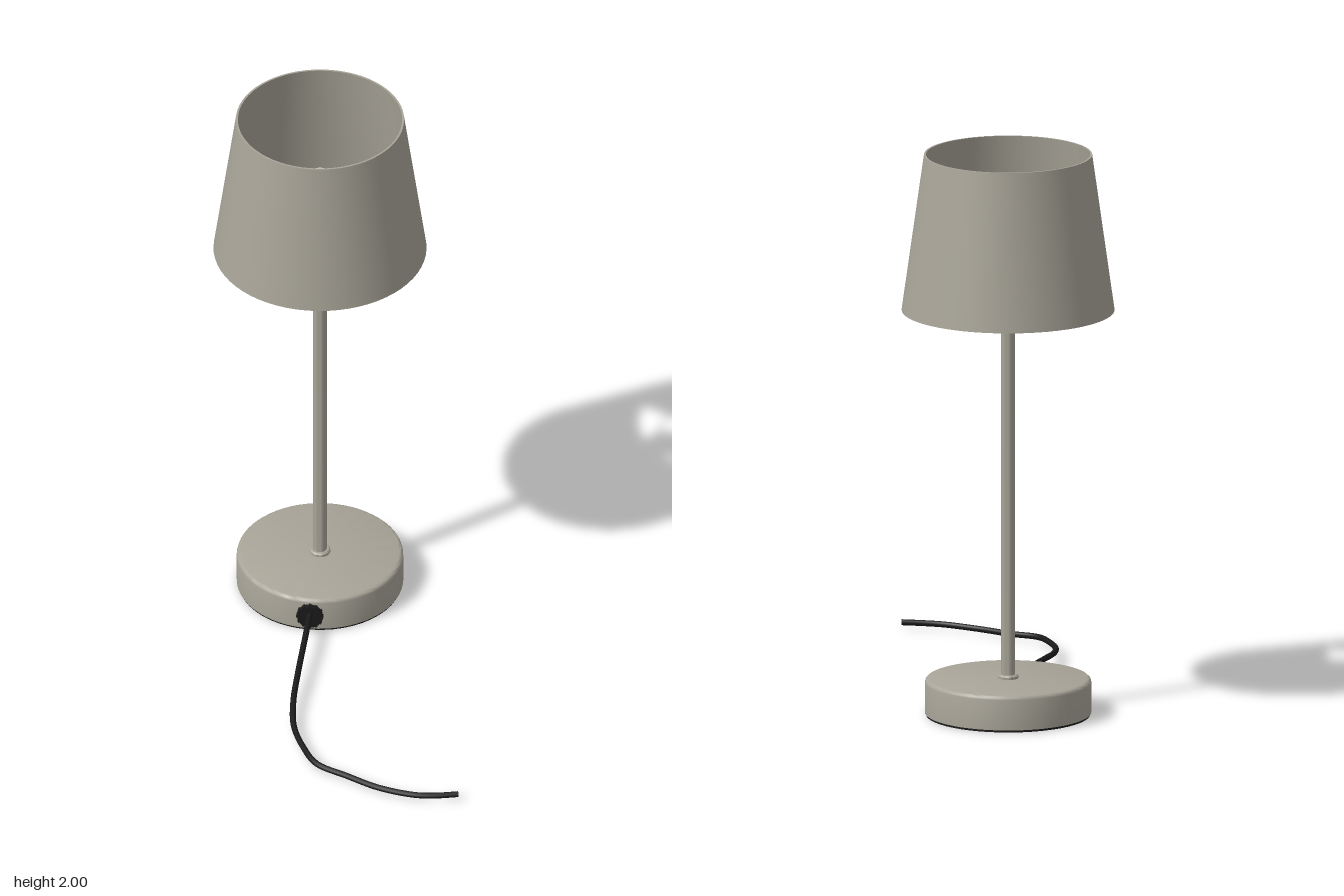
import * as THREE from 'three';
import { toCreasedNormals } from 'three/addons/utils/BufferGeometryUtils.js';

const AXIS_X = -0.13, AXIS_Z = -0.435;

function material(name, color) {
  const m = new THREE.MeshStandardMaterial({ color });
  m.name = name;
  return m;
}

export function createModel() {
  const metal = material('warm grey', 0xa8a498);
  const black = material('black', 0x1a1a1a);
  const white = material('bulb white', 0xf2f2f2);

  const model = new THREE.Group();
  model.name = 'tableLamp';
  const lamp = new THREE.Group();
  lamp.name = 'lamp';
  lamp.position.set(AXIS_X, 0, AXIS_Z);
  model.add(lamp);

  const add = (parent, name, geometry, mat) => {
    const mesh = new THREE.Mesh(geometry, mat);
    mesh.name = name;
    parent.add(mesh);
    return mesh;
  };
  // Turned part from [radius, height] points, listed upward along the outside
  const turned = (points, segments = 48) => toCreasedNormals(
    new THREE.LatheGeometry(points.map(([r, y]) => new THREE.Vector2(r, y)), segments), 0.6);

  // Base with softened rim, dark pad underneath
  add(lamp, 'basePad', turned([[0, 0], [0.286, 0], [0.286, 0.012], [0, 0.012]]), black);
  add(lamp, 'base', turned([[0, 0.008], [0.29, 0.008], [0.29, 0.116], [0.288, 0.123],
    [0.283, 0.128], [0.276, 0.13], [0, 0.13]], 64), metal);

  // Pole and its collar
  add(lamp, 'poleCollar', turned([[0.036, 0.128], [0.036, 0.138], [0.031, 0.143], [0, 0.143]], 32), metal);
  add(lamp, 'pole', turned([[0.024, 0.13], [0.024, 1.5]], 24), metal);

  // Bulb socket with flange ring
  add(lamp, 'socket', turned([[0, 1.465], [0.034, 1.465], [0.043, 1.48], [0.043, 1.59],
    [0.078, 1.59], [0.078, 1.605], [0.05, 1.605], [0.05, 1.63], [0, 1.63]], 32), metal);

  // Bulb
  add(lamp, 'bulb', turned([[0.03, 1.625], [0.045, 1.645], [0.06, 1.67], [0.067, 1.695],
    [0.066, 1.72], [0.056, 1.745], [0.04, 1.762], [0.02, 1.771], [0, 1.774]], 32), white);

  // Thin-walled shade, open at both ends
  add(lamp, 'shade', turned([[0.364, 1.445], [0.371, 1.445], [0.293, 2], [0.286, 2], [0.364, 1.445]], 64), metal);

  // Two opposite arms sloping from the flange down to the lower rim
  for (const side of [1, -1]) {
    const from = new THREE.Vector3(0.034 * side, 1.597, -0.067 * side);
    const to = new THREE.Vector3(0.165 * side, 1.452, -0.326 * side);
    add(lamp, 'shadeArm', new THREE.TubeGeometry(new THREE.LineCurve3(from, to), 1, 0.0045, 8), metal);
  }

  // Ribbed cable grommet at the front of the base
  const grommet = new THREE.Group();
  grommet.name = 'grommet';
  grommet.position.set(AXIS_X, 0.068, -0.142);
  model.add(grommet);
  const cap = add(grommet, 'grommetCap', new THREE.CylinderGeometry(0.044, 0.044, 0.028, 24), black);
  cap.rotation.x = Math.PI / 2;
  for (let i = 0; i < 12; i++) {
    const a = i * Math.PI / 6;
    const rib = add(grommet, 'grommetRib', new THREE.BoxGeometry(0.008, 0.008, 0.028), black);
    rib.position.set(0.043 * Math.cos(a), 0.043 * Math.sin(a), 0);
    rib.rotation.z = a;
  }

  // Cable sagging to the ground and sweeping sideways
  const path = new THREE.CatmullRomCurve3([
    [-0.13, 0.078, -0.15], [-0.13, 0.076, 0], [-0.133, 0.06, 0.18], [-0.132, 0.044, 0.33],
    [-0.115, 0.033, 0.46], [-0.07, 0.028, 0.57], [-0.01, 0.024, 0.66], [0.1, 0.019, 0.71],
    [0.22, 0.018, 0.765], [0.35, 0.021, 0.796], [0.42, 0.023, 0.794], [0.5, 0.026, 0.78],
  ].map((p) => new THREE.Vector3(...p)));
  add(model, 'cable', new THREE.TubeGeometry(path, 72, 0.0105, 10), black);
  const end = add(model, 'cableEnd', new THREE.CircleGeometry(0.0105, 10), black);
  end.position.copy(path.getPoint(1));
  end.lookAt(path.getPoint(1).add(path.getTangent(1)));

  return model;
}
